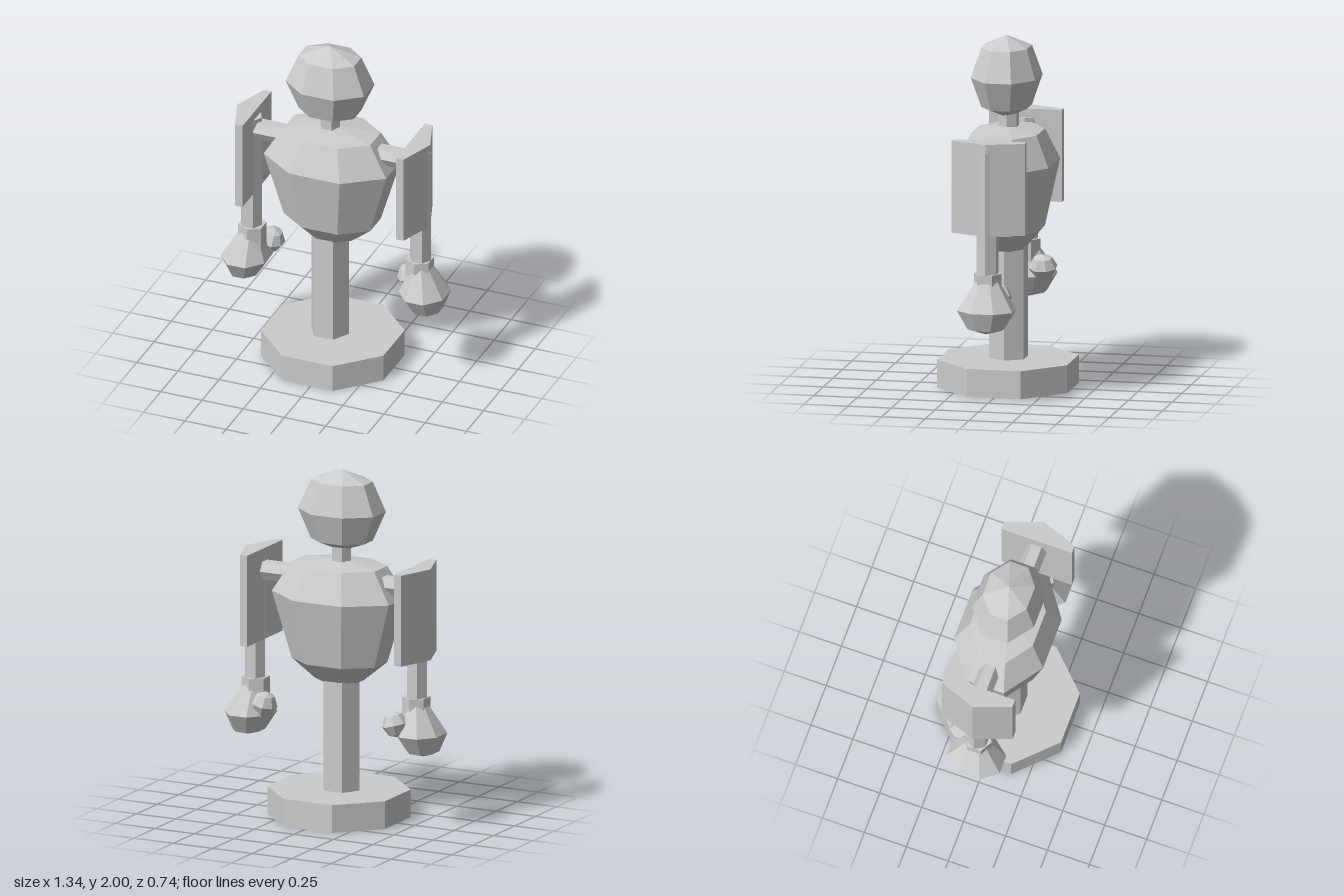
import * as THREE from 'three';

const material = new THREE.MeshStandardMaterial({ color: 0xcccccc, flatShading: true });

function addMesh(parent, name, geometry, x = 0, y = 0, z = 0) {
  const mesh = new THREE.Mesh(geometry, material);
  mesh.name = name;
  mesh.position.set(x, y, z);
  parent.add(mesh);
  return mesh;
}

// Faceted solid of revolution; profile lists [radius, height] from bottom to top
function faceted(profile, sides, turn, depth = 1) {
  const points = profile.map(([r, y]) => new THREE.Vector2(r, y));
  return new THREE.LatheGeometry(points, sides, turn, Math.PI * 2).scale(1, 1, depth);
}

// Eight-sided solid with flat faces to the front and sides; radii are half widths
function octagonal(profile, depth = 1) {
  const k = 1 / Math.cos(Math.PI / 8);
  return faceted(profile.map(([r, y]) => [r * k, y]), 8, Math.PI / 8, depth);
}

// Hexagonal bar with corners at the sides
function hexBar(radius, y0, y1, turn = Math.PI / 6) {
  return faceted([[0, y0], [radius, y0], [radius, y1], [0, y1]], 6, turn);
}

function buildArm(side) {
  const arm = new THREE.Group();
  arm.name = side > 0 ? 'leftArm' : 'rightArm';

  // Shoulder bar and hanging arm
  const bar = addMesh(arm, 'shoulderBar', hexBar(0.059, 0.22, 0.515, 0), 0, 1.365, 0);
  bar.geometry.rotateY(Math.PI / 2).rotateZ(-side * Math.PI / 2);
  // Keep the bar's ridges at its top and bottom
  bar.geometry.rotateX(Math.PI / 2);
  addMesh(arm, 'armRod', hexBar(0.064, 0.68, 1.44), side * 0.513);

  // Ridged shoulder plate
  const inner = side > 0 ? 0.452 : 0.48;
  const shape = new THREE.Shape();
  [[0, 0.21], [0.045, 0.21], [0.12, 0], [0.045, -0.21], [0, -0.21]].forEach(([x, z], i) => {
    const px = side * (inner + x);
    if (i === 0) shape.moveTo(px, z);
    else shape.lineTo(px, z);
  });
  const plate = new THREE.ExtrudeGeometry(shape, { depth: 0.525, bevelEnabled: false });
  plate.rotateX(-Math.PI / 2);
  addMesh(arm, 'shoulderPlate', plate, 0, 0.965, 0);

  // Cuff, hand and thumb
  addMesh(arm, 'cuff', hexBar(0.08, 0.62, 0.745, 0), side * 0.508);
  const hand = octagonal([[0, 0.405], [0.082, 0.435], [0.132, 0.54], [0.05, 0.705], [0, 0.72]], 1.2);
  // Lean the hand so its lower end swings outward
  const p = hand.attributes.position;
  for (let i = 0; i < p.count; i++) p.setX(i, p.getX(i) + side * (0.54 - p.getY(i)) * 0.12);
  addMesh(arm, 'hand', hand, side * 0.54);
  const thumb = octagonal([[0, -0.075], [0.045, -0.055], [0.07, 0], [0.045, 0.055], [0, 0.075]], 1.1);
  const tip = addMesh(arm, 'thumb', thumb, side * 0.435, 0.6, side > 0 ? -0.04 : -0.11);
  tip.rotation.z = side * 0.25;
  return arm;
}

export function createModel() {
  const model = new THREE.Group();
  model.name = 'trainingDummy';

  // Stand
  addMesh(model, 'base', octagonal([[0, 0], [0.372, 0], [0.372, 0.16], [0, 0.16]]), -0.02);
  addMesh(model, 'post', hexBar(0.115, 0.14, 0.85), -0.035);

  // Torso, neck and head
  const torso = [[0, 0.78], [0.135, 0.79], [0.262, 0.9], [0.371, 1.28], [0.262, 1.455], [0, 1.49]];
  addMesh(model, 'torso', octagonal(torso, 0.715), -0.022);
  addMesh(model, 'neck', hexBar(0.06, 1.45, 1.6), -0.035);
  const head = [[0, 1.53], [0.168, 1.595], [0.238, 1.765], [0.168, 1.935], [0, 2]];
  addMesh(model, 'head', octagonal(head, 0.775), -0.032, 0, 0.01);

  for (const side of [-1, 1]) model.add(buildArm(side));
  return model;
}
